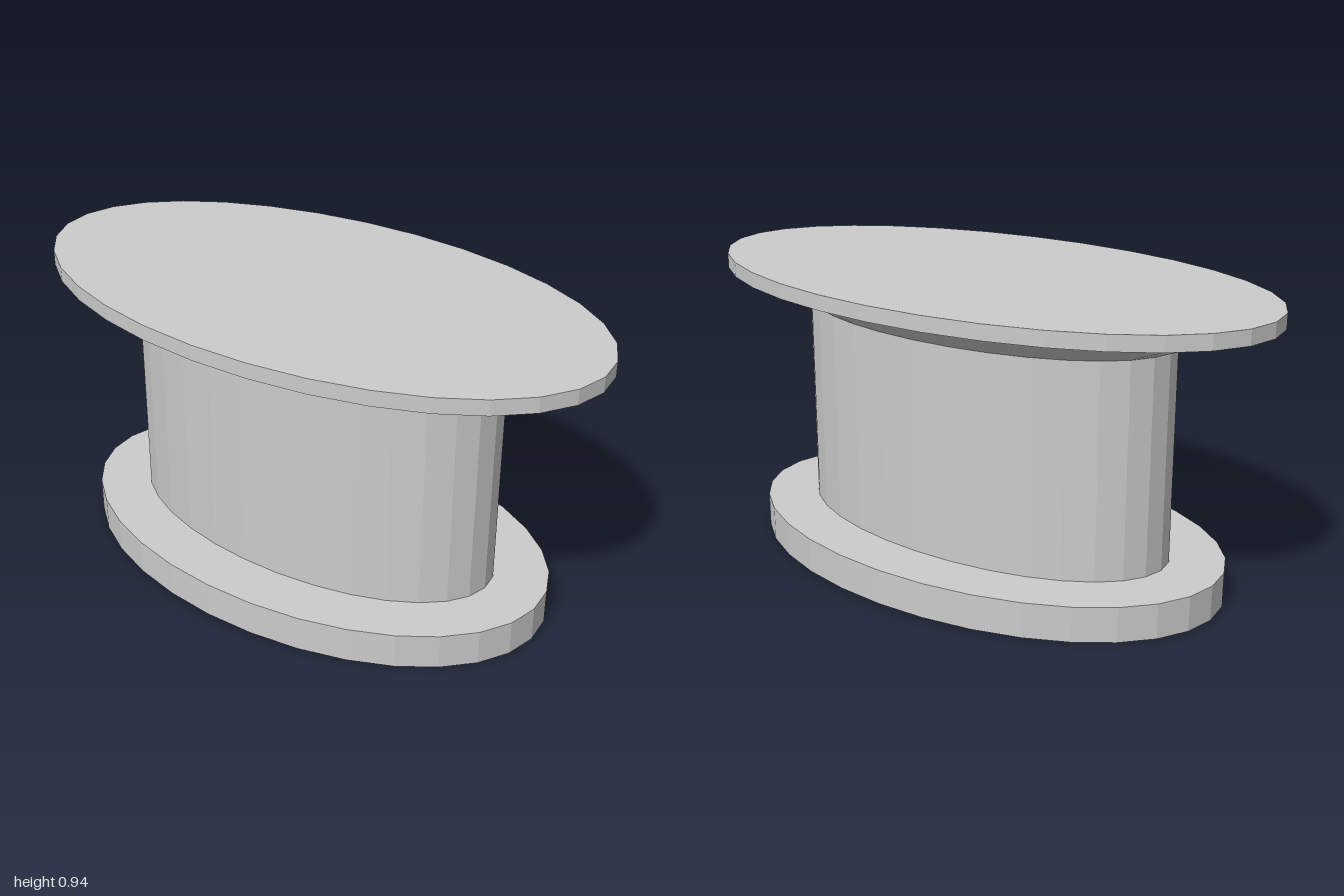
import * as THREE from 'three';

const SIDES = 32;

export function createModel() {
  const group = new THREE.Group();
  const material = new THREE.MeshStandardMaterial({ color: 0xcccccc, flatShading: true });

  // Elliptical drum between two heights; rx and rz are the lower half-widths,
  // flare widens the upper end.
  function drum(name, rx, rz, y0, y1, flare = 1, open = false) {
    const geometry = new THREE.CylinderGeometry(flare, 1, y1 - y0, SIDES, 1, open);
    geometry.scale(rx, 1, rz);
    geometry.translate(0, (y0 + y1) / 2, 0);
    const mesh = new THREE.Mesh(geometry, material);
    mesh.name = name;
    group.add(mesh);
  }

  drum('base', 0.522, 0.853, 0, 0.112);
  drum('column', 0.345, 0.678, 0.112, 0.795, 1, true);
  drum('flaredCollar', 0.345, 0.678, 0.795, 0.892, 1.37, true);
  drum('topSlab', 0.547, 1, 0.892, 0.94);

  return group;
}
